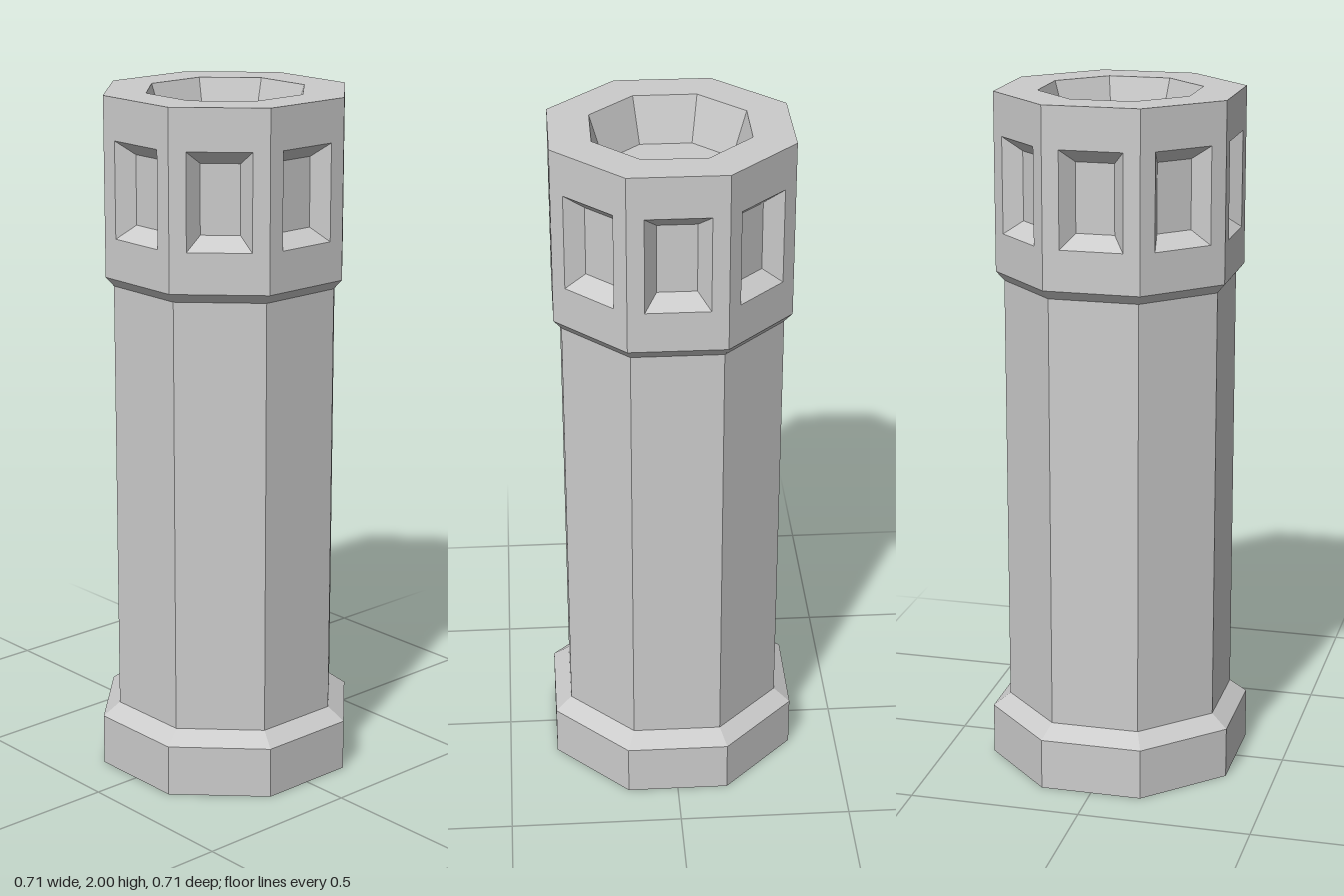
import * as THREE from 'three';

const SIDES = 8;
const STEP = (Math.PI * 2) / SIDES;
const HEAD = 0.332, HEAD_BOTTOM = 1.487, TOP = 2;
const WINDOW_Y = 1.742;

const material = new THREE.MeshStandardMaterial({ color: 0xcccccc, flatShading: true });

function addMesh(parent, name, geometry) {
  const mesh = new THREE.Mesh(geometry, material);
  mesh.name = name;
  parent.add(mesh);
  return mesh;
}

// Octagonal solid from [distance to flat side, height] pairs, flats facing the axes
function octagon(profile) {
  const points = profile.map(([a, y]) => new THREE.Vector2(a / Math.cos(STEP / 2), y));
  return new THREE.LatheGeometry(points, SIDES, STEP / 2);
}

// Rectangle corners, counter-clockwise from bottom left
function corners(halfWidth, halfHeight) {
  return [[-1, -1], [1, -1], [1, 1], [-1, 1]].map(
    ([x, y]) => new THREE.Vector2(x * halfWidth, WINDOW_Y + y * halfHeight));
}

const outer = corners(0.09, 0.138);
const inner = corners(0.055, 0.099);
const DEPTH = 0.047;

// Wall panel of the head with a window opening
function wallGeometry() {
  const half = HEAD * Math.tan(STEP / 2);
  const shape = new THREE.Shape([
    new THREE.Vector2(-half, HEAD_BOTTOM), new THREE.Vector2(half, HEAD_BOTTOM),
    new THREE.Vector2(half, TOP), new THREE.Vector2(-half, TOP),
  ]);
  shape.holes.push(new THREE.Path([...outer].reverse()));
  return new THREE.ShapeGeometry(shape).translate(0, 0, HEAD);
}

// Bevelled reveal and back panel of a blind window
function recessGeometry() {
  const front = outer.map((p) => [p.x, p.y, HEAD]);
  const back = inner.map((p) => [p.x, p.y, HEAD - DEPTH]);
  const positions = [];
  const quad = (a, b, c, d) => positions.push(...a, ...b, ...c, ...a, ...c, ...d);
  for (let i = 0; i < 4; i++) {
    const j = (i + 1) % 4;
    quad(front[i], front[j], back[j], back[i]);
  }
  quad(...back);
  const geometry = new THREE.BufferGeometry();
  geometry.setAttribute('position', new THREE.Float32BufferAttribute(positions, 3));
  geometry.computeVertexNormals();
  return geometry;
}

export function createModel() {
  const tower = new THREE.Group();
  tower.name = 'tower';

  // Plinth with a sloped upper edge
  addMesh(tower, 'base', octagon([[0, 0], [0.357, 0], [0.357, 0.15], [0.31, 0.188]]));

  // Plain shaft and the small flare that carries the head
  addMesh(tower, 'shaft', octagon([[0.31, 0.188], [0.31, 1.46]]));
  addMesh(tower, 'flare', octagon([[0.31, 1.46], [HEAD, HEAD_BOTTOM]]));

  // Head: eight walls, each with a recessed window
  const head = new THREE.Group();
  head.name = 'head';
  tower.add(head);
  const wall = wallGeometry();
  const recess = recessGeometry();
  for (let i = 0; i < SIDES; i++) {
    const side = new THREE.Group();
    side.name = 'headSide';
    side.rotation.y = i * STEP;
    addMesh(side, 'wall', wall);
    addMesh(side, 'windowRecess', recess);
    head.add(side);
  }

  // Rim and tapered hollow in the top
  addMesh(head, 'rim', octagon([[HEAD, TOP], [0.217, TOP]]));
  addMesh(head, 'hollow', octagon([[0.217, TOP], [0.178, 1.87], [0, 1.87]]));

  return tower;
}
